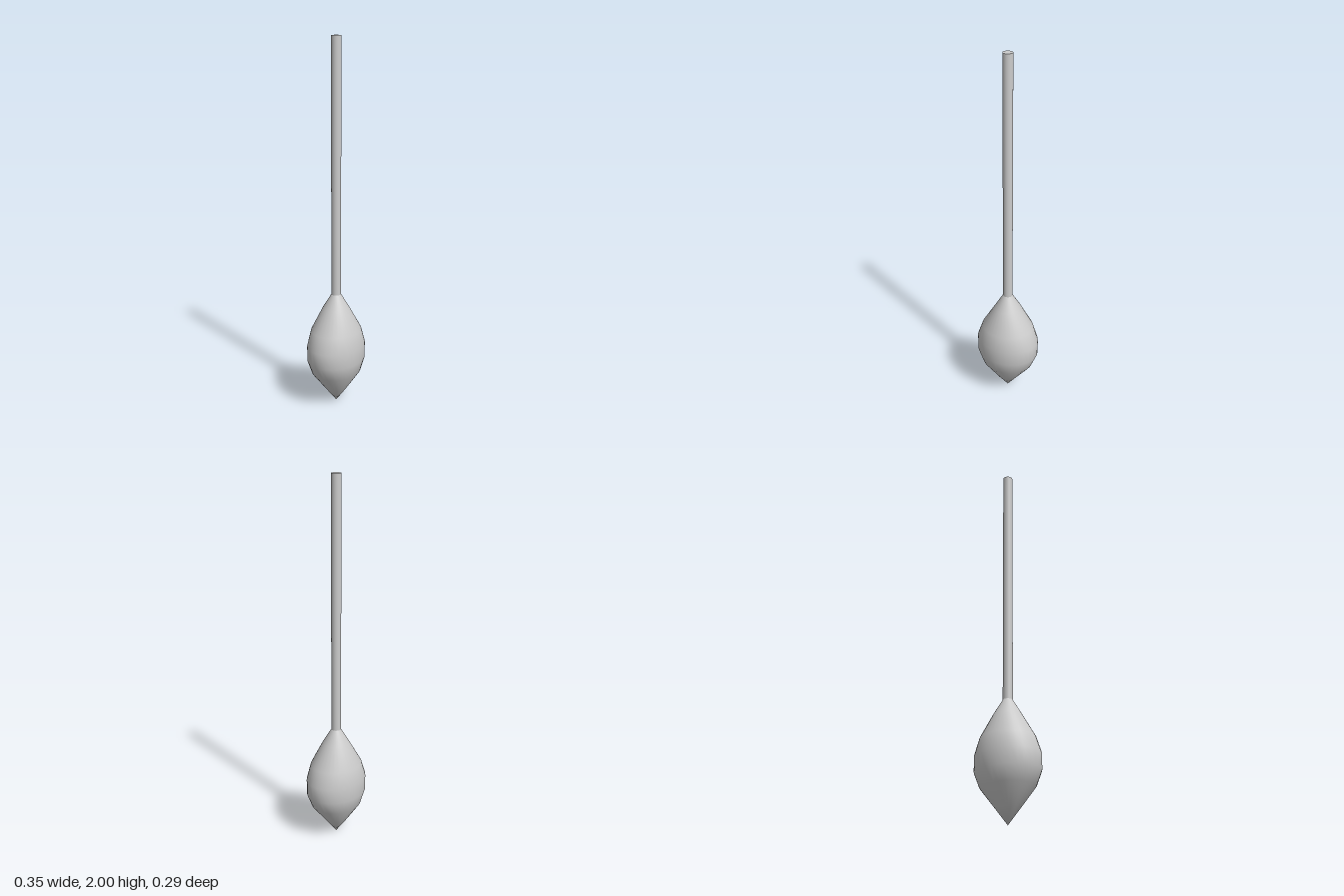
import * as THREE from 'three';
import { mergeVertices } from 'three/addons/utils/BufferGeometryUtils.js';

const SIDES = 32;

// Bulb rings from the tip up: height, half-width (x), half-depth (z)
const RINGS = [
  [0, 0, 0],
  [0.08, 0.062, 0.058],
  [0.185, 0.145, 0.128],
  [0.262, 0.177, 0.147],
  [0.345, 0.177, 0.147],
  [0.432, 0.146, 0.132],
  [0.555, 0.073, 0.074],
  [0.635, 0.026, 0.026],
];

// Turned profile, with each ring squashed to its own oval
function bulbGeometry() {
  const profile = RINGS.map(([y, rx]) => new THREE.Vector2(rx, y));
  let geometry = new THREE.LatheGeometry(profile, SIDES);
  const pos = geometry.attributes.position;
  for (let i = 0; i < pos.count; i++) {
    const [, rx, rz] = RINGS[i % RINGS.length];
    if (rx > 0) pos.setZ(i, pos.getZ(i) * rz / rx);
  }
  // Weld the seam for smooth shading all round
  geometry.deleteAttribute('uv');
  geometry.deleteAttribute('normal');
  geometry = mergeVertices(geometry, 1e-5);
  geometry.computeVertexNormals();
  return geometry;
}

export function createModel() {
  const group = new THREE.Group();
  const material = new THREE.MeshStandardMaterial({ color: 0xcccccc });

  const bulb = new THREE.Mesh(bulbGeometry(), material);
  bulb.name = 'bulb';
  group.add(bulb);

  // Long straight rod rising from the bulb's neck
  const bottom = 0.63;
  const rod = new THREE.Mesh(new THREE.CylinderGeometry(0.026, 0.026, 2 - bottom, SIDES), material);
  rod.name = 'rod';
  rod.position.y = (2 + bottom) / 2;
  group.add(rod);

  return group;
}
